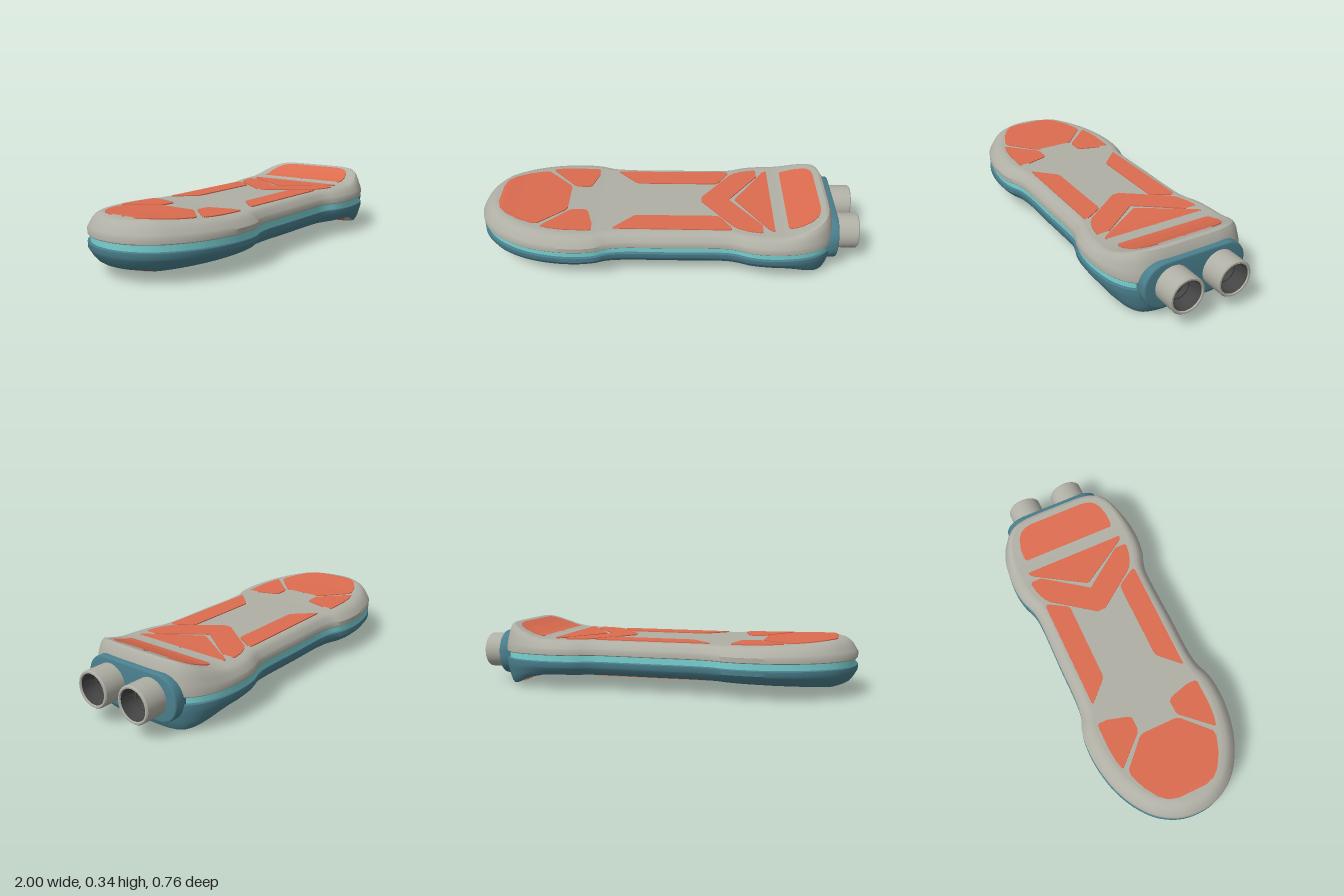
import * as THREE from 'three';
import { toCreasedNormals } from 'three/addons/utils/BufferGeometryUtils.js';

const MID = 0.1715; // height of the seam plane; the lower half mirrors the upper

const mat = (name, color, side = THREE.FrontSide) =>
  Object.assign(new THREE.MeshStandardMaterial({ color, side }), { name });

// Piecewise-linear lookup in a list of [x, value]
function lerpAt(pts, x) {
  if (x <= pts[0][0]) return pts[0][1];
  for (let i = 1; i < pts.length; i++) {
    const [x0, v0] = pts[i - 1], [x1, v1] = pts[i];
    if (x <= x1) return v0 + (v1 - v0) * (x - x0) / (x1 - x0);
  }
  return pts[pts.length - 1][1];
}

// Deck height above the seam plane, and width of the sloping rim
const DECK = [[-0.92, 0.113], [-0.88, 0.116], [-0.8, 0.109], [-0.7, 0.102], [-0.55, 0.096], [-0.35, 0.091],
  [0.5, 0.092], [0.6, 0.096], [0.66, 0.108], [0.73, 0.133], [0.78, 0.155], [0.81, 0.168], [0.83, 0.171]];
const RIM = [[-0.8, 0.075], [-0.4, 0.07], [-0.25, 0.055], [0.35, 0.055], [0.5, 0.06], [0.75, 0.05]];
const deck = x => lerpAt(DECK, x);

// Plan outline, closed, starting at the nose and running along +z first
const HALF = [[-1, 0], [-0.985, 0.1], [-0.93, 0.2], [-0.85, 0.272], [-0.73, 0.335], [-0.58, 0.372], [-0.45, 0.378],
  [-0.37, 0.366], [-0.31, 0.343], [-0.23, 0.331], [0, 0.33], [0.31, 0.33], [0.36, 0.341], [0.42, 0.363],
  [0.5, 0.377], [0.61, 0.376], [0.71, 0.358], [0.79, 0.32], [0.84, 0.265], [0.864, 0.19], [0.87, 0.1], [0.87, 0]];
const N = 280;
const loopPts = [...HALF, ...HALF.slice(1, -1).reverse().map(([x, z]) => [x, -z])];
const curve = new THREE.CatmullRomCurve3(loopPts.map(([x, z]) => new THREE.Vector3(x, 0, z)), true, 'centripetal');
curve.arcLengthDivisions = 2000;
const OUTLINE = curve.getSpacedPoints(N);

// Outline point moved inwards by a distance (a function of x)
function insetPoint(i, inset) {
  const p = OUTLINE[i % N];
  const a = OUTLINE[(i + N - 1) % N], b = OUTLINE[(i + 1) % N];
  const l = Math.hypot(b.x - a.x, b.z - a.z), d = inset(p.x);
  return [p.x + (b.z - a.z) / l * d, p.z - (b.x - a.x) / l * d];
}

// Surface through equal rows of [x, y, z] points
function grid(rows, flip, crease = 0.6) {
  const cols = rows[0].length, index = [];
  for (let r = 0; r < rows.length - 1; r++) {
    for (let c = 0; c < cols - 1; c++) {
      const a = r * cols + c, b = a + 1, d = a + cols, e = d + 1;
      index.push(...(flip ? [a, d, b, b, d, e] : [a, b, d, b, e, d]));
    }
  }
  const g = new THREE.BufferGeometry();
  g.setAttribute('position', new THREE.Float32BufferAttribute(rows.flat(2), 3));
  g.setIndex(index);
  return toCreasedNormals(g, crease);
}

// One ring of the hull: inset and height above the seam, both functions of x
function ring(inset, height, s) {
  return Array.from({ length: N + 1 }, (_, i) => {
    const [x, z] = insetPoint(i, inset);
    return [x, MID + s * height(x), z];
  });
}

// Sloping shell side: lip, vertical edge, then the curved rim up to the deck
function shellSide(s) {
  const rows = [ring(() => 0.03, () => 0.016, s), ring(() => 0.003, () => 0.016, s),
    ring(() => 0, () => 0.02, s), ring(() => 0, () => 0.044, s)];
  for (const [d, h] of [[0.1, 0.2], [0.3, 0.55], [0.5, 0.8], [0.72, 0.95], [1, 1]])
    rows.push(ring(x => d * lerpAt(RIM, x), x => 0.044 + (deck(x) - 0.044) * h, s));
  return grid(rows, s < 0);
}

// Deck surface spanning the inner edge of the rim
function deckFill(s) {
  const rows = [];
  for (let i = 0; i <= N / 2; i++) {
    const [x, z] = insetPoint(i, q => lerpAt(RIM, q));
    rows.push([-1, -0.5, 0, 0.5, 1].map(k => [x, MID + s * deck(x), z * k]));
  }
  return grid(rows, s < 0);
}

// Grip pads as inner and outer edges over x, for the +z half
const PADS = [
  { name: 'nosePad', lo: [[-0.9, 0]],
    hi: [[-0.9, 0.07], [-0.885, 0.125], [-0.85, 0.165], [-0.78, 0.21], [-0.7, 0.24], [-0.67, 0.238], [-0.54, 0.115], [-0.53, 0.09]] },
  { name: 'noseSidePad', lo: [[-0.65, 0.257], [-0.52, 0.118], [-0.5, 0.108], [-0.435, 0.108], [-0.42, 0.125], [-0.39, 0.23]],
    hi: [[-0.65, 0.265], [-0.6, 0.278], [-0.53, 0.285], [-0.4, 0.285], [-0.39, 0.275]] },
  { name: 'sideBarPad', lo: [[-0.28, 0.258], [-0.18, 0.157], [-0.16, 0.15], [0.26, 0.15], [0.275, 0.16], [0.33, 0.25]],
    hi: [[-0.28, 0.264], [0.325, 0.268], [0.33, 0.262]] },
  { name: 'chevronPad', lo: [[0.18, 0], [0.325, 0], [0.49, 0.225]],
    hi: [[0.18, 0.02], [0.34, 0.235], [0.37, 0.258], [0.42, 0.278], [0.48, 0.289], [0.49, 0.28]] },
  { name: 'trianglePad', lo: [[0.36, 0]],
    hi: [[0.36, 0.005], [0.515, 0.25], [0.53, 0.27], [0.545, 0.278], [0.55, 0.272]] },
  { name: 'tailPad', lo: [[0.62, 0]],
    hi: [[0.62, 0.25], [0.635, 0.264], [0.69, 0.262], [0.74, 0.246], [0.77, 0.222], [0.785, 0.19], [0.79, 0.15]] },
];

// Thin raised pad following the deck; s picks top or bottom, m the z side
function padGeometry({ lo, hi }, s, m) {
  const x0 = hi[0][0], x1 = hi[hi.length - 1][0], rows = [], steps = 48;
  for (let i = 0; i <= steps; i++) {
    const x = x0 + (x1 - x0) * i / steps;
    const a = lerpAt(lo, x), b = lerpAt(hi, x), y = MID + s * deck(x), t = s * 0.005;
    rows.push([[x, y, m * a], [x, y + t, m * a], [x, y + t, m * b], [x, y, m * b]]);
  }
  return grid(rows, s * m < 0);
}

// Rounded rectangle centred on the origin
function roundedRect(w, h, r) {
  const shape = new THREE.Shape();
  shape.absarc(w - r, h - r, r, 0, Math.PI / 2);
  shape.absarc(r - w, h - r, r, Math.PI / 2, Math.PI);
  shape.absarc(r - w, r - h, r, Math.PI, Math.PI * 1.5);
  shape.absarc(w - r, r - h, r, Math.PI * 1.5, Math.PI * 2);
  return shape;
}

export function createModel() {
  const grey = mat('shellGrey', 0xb0afa5, THREE.DoubleSide);
  const teal = mat('deepTeal', 0x4a7f8d);
  const cyan = mat('brightCyan', 0x78d0d0);
  const orange = mat('gripOrange', 0xdc6c4f);
  const dark = mat('nozzleDark', 0x444444, THREE.DoubleSide);
  const group = new THREE.Group();
  group.name = 'hoverDeck';
  const add = (name, geometry, material) => {
    const mesh = new THREE.Mesh(geometry, material);
    mesh.name = name;
    group.add(mesh);
    return mesh;
  };

  // Hull halves with the bright band between them
  for (const s of [1, -1]) {
    const half = s > 0 ? 'upper' : 'lower';
    add(half + 'Shell', shellSide(s), s > 0 ? grey : teal);
    add(half + 'Deck', deckFill(s), grey);
    for (const pad of PADS)
      for (const m of [1, -1]) add(half + pad.name[0].toUpperCase() + pad.name.slice(1), padGeometry(pad, s, m), orange);
  }
  add('seamBand', grid([ring(() => 0.012, () => -0.03, 1), ring(() => 0.012, () => 0.03, 1)], false), cyan);

  // Tail plate carrying the nozzles
  const plate = new THREE.ExtrudeGeometry(roundedRect(0.27, 0.108, 0.1),
    { depth: 0.055, bevelSize: 0.01, bevelThickness: 0.008, bevelSegments: 3, curveSegments: 16 });
  plate.rotateY(Math.PI / 2);
  add('tailPlate', toCreasedNormals(plate, 0.6), teal).position.set(0.82, MID, 0);

  // Twin nozzles: pale tube with a dark stepped throat
  const lathe = pts => toCreasedNormals(
    new THREE.LatheGeometry(pts.map(([r, h]) => new THREE.Vector2(r, h)), 48).rotateZ(-Math.PI / 2), 0.6);
  const tube = lathe([[0.093, 0.86], [0.093, 0.994], [0.088, 1], [0.08, 1], [0.077, 0.994]]);
  const throat = lathe([[0.077, 0.994], [0.075, 0.95], [0.062, 0.925], [0.055, 0.925], [0.046, 0.905], [0, 0.905]]);
  for (const z of [0.13, -0.13]) {
    add('nozzleTube', tube, grey).position.set(0, MID, z);
    add('nozzleThroat', throat, dark).position.set(0, MID, z);
  }
  return group;
}
